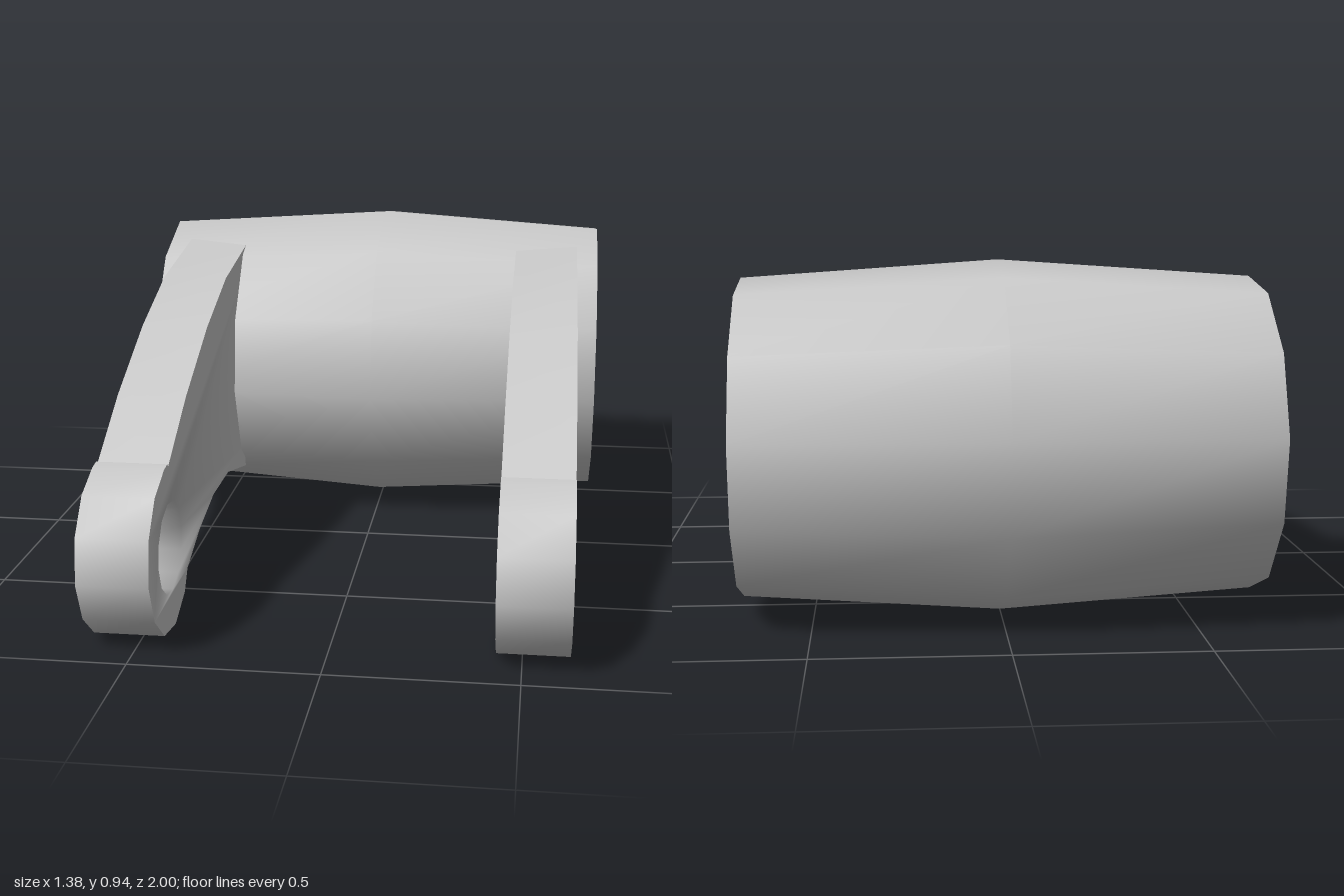
import * as THREE from 'three';
import { toCreasedNormals } from 'three/addons/utils/BufferGeometryUtils.js';

const CENTRE_Y = 0.473, CENTRE_Z = -0.528;
const EYE_Y = 0.235, EYE_Z = 0.775, EYE_RADIUS = 0.125;
const rad = THREE.MathUtils.degToRad;

// Twelve-sided barrel along x, swollen in the middle, with a dish in each end
function barrelGeometry() {
  const half = [];
  for (let i = 0; i <= 6; i++) {
    const a = (i / 6) * Math.PI / 2;
    half.push([0.358 * Math.sin(a), -0.688 + 0.25 * Math.cos(a)]);
  }
  half.push([0.427, -0.688]);
  const profile = [...half, [0.474, 0], ...half.slice().reverse().map(([r, y]) => [r, -y])];
  const geo = new THREE.LatheGeometry(profile.map(([r, y]) => new THREE.Vector2(r, y)), 12, rad(6.5));
  geo.rotateZ(-Math.PI / 2);
  return toCreasedNormals(geo, 0.65);
}

// Curved arm with a pin eye, drawn in (z, y) and extruded across x
function armGeometry() {
  const outline = [
    [-0.235, 0.132], [0.04, 0.2], [0.25, 0.2], [0.44, 0.16], [0.595, 0.105],
    [0.635, 0.05], [0.745, 0.004], [0.865, 0.022], [0.955, 0.1], [1, 0.21],
    [0.985, 0.33], [0.91, 0.42], [0.81, 0.461], [0.775, 0.466], [0.765, 0.457],
    [0.55, 0.585], [0.27, 0.715], [0, 0.805],
  ];
  // Inner end follows the barrel wall so that it stays hidden
  for (let a = 78; a >= -41; a -= 17) {
    outline.push([CENTRE_Z + 0.405 * Math.cos(rad(a)), CENTRE_Y + 0.405 * Math.sin(rad(a))]);
  }
  const shape = new THREE.Shape(outline.map(([z, y]) => new THREE.Vector2(z, y)));
  const hole = [];
  for (let i = 0; i < 12; i++) {
    const a = rad(i * 30 - 6.5);
    hole.push(new THREE.Vector2(EYE_Z + EYE_RADIUS * Math.cos(a), EYE_Y + EYE_RADIUS * Math.sin(a)));
  }
  shape.holes.push(new THREE.Path(hole));
  const extruded = new THREE.ExtrudeGeometry(shape, { depth: 0.19, bevelEnabled: false });
  extruded.rotateY(-Math.PI / 2);
  extruded.translate(0.095, 0, 0);
  const geo = toCreasedNormals(extruded, 0.75);

  // Soft shading over the rim of the eye
  const { position, normal } = geo.attributes;
  const n = new THREE.Vector3();
  for (let i = 0; i < position.count; i++) {
    const y = EYE_Y - position.getY(i), z = EYE_Z - position.getZ(i);
    if (Math.hypot(y, z) > EYE_RADIUS + 0.01) continue;
    n.set(Math.sign(position.getX(i)) * EYE_RADIUS, y, z).normalize();
    normal.setXYZ(i, n.x, n.y, n.z);
  }
  return geo;
}

export function createModel() {
  const model = new THREE.Group();
  const grey = new THREE.MeshStandardMaterial({ color: 0xc8c8c8 });
  grey.name = 'light grey';

  const barrel = new THREE.Mesh(barrelGeometry(), grey);
  barrel.name = 'barrel';
  barrel.position.set(0, CENTRE_Y, CENTRE_Z);
  model.add(barrel);

  const arm = armGeometry();
  for (const side of [1, -1]) {
    const mesh = new THREE.Mesh(arm, grey);
    mesh.name = side > 0 ? 'leftArm' : 'rightArm';
    mesh.position.x = side * 0.528;
    model.add(mesh);
  }
  return model;
}
